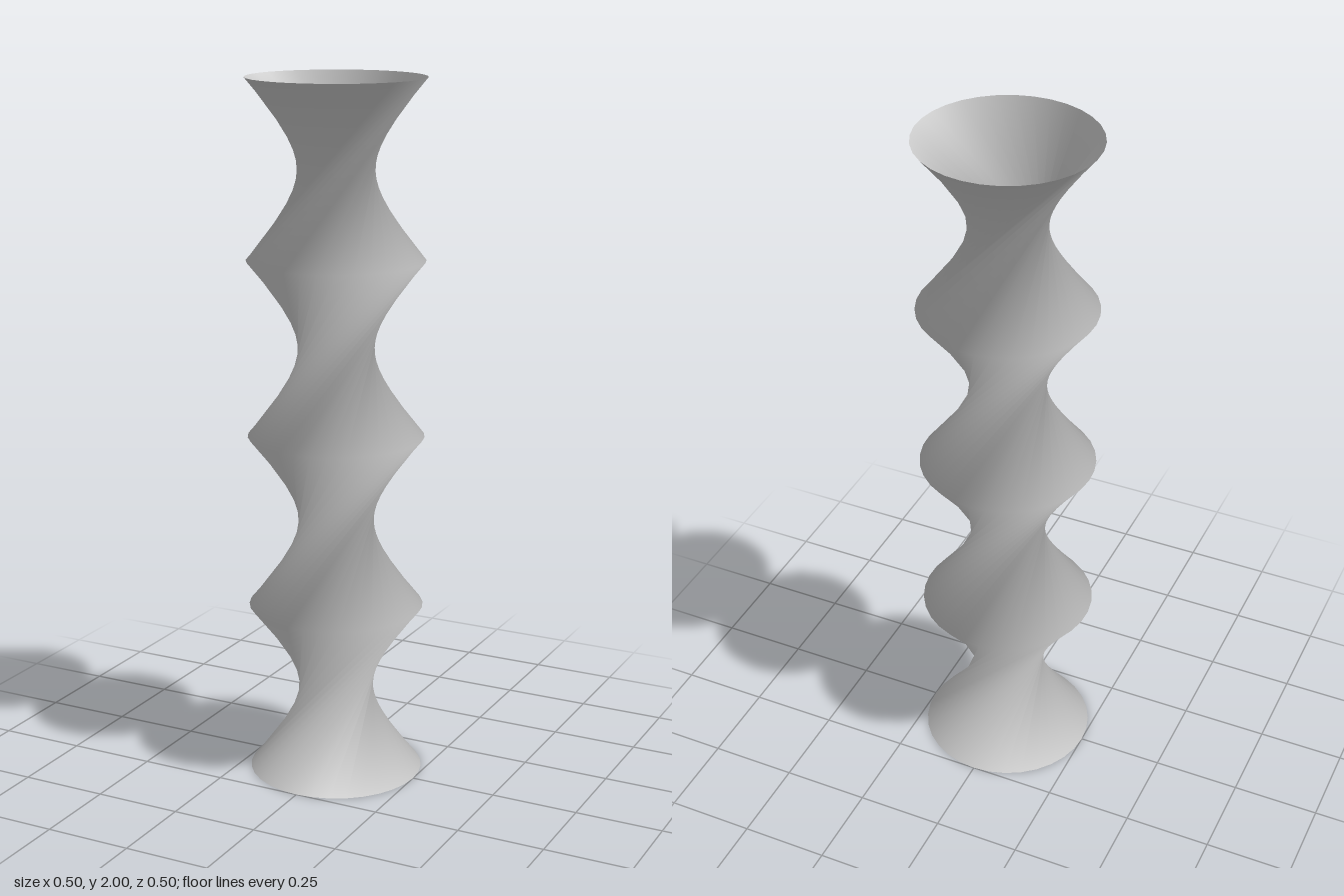
import * as THREE from 'three';
import { mergeVertices } from 'three/addons/utils/BufferGeometryUtils.js';

const RADIUS = 0.25;
const HEIGHT = 2;
const SIDES = 32;
const STAGES = 4;
// Turn between one rim and the next; the straight facets then pinch into waists.
const TWIST = THREE.MathUtils.degToRad(128.75);

export function createModel() {
  const group = new THREE.Group();
  group.name = 'twistedColumn';

  // Open tube with one row of long facets per stage
  let tube = new THREE.CylinderGeometry(RADIUS, RADIUS, HEIGHT, SIDES, STAGES, true);
  tube.translate(0, HEIGHT / 2, 0);

  // Rotate each rim in proportion to its height
  const pos = tube.attributes.position;
  const axis = new THREE.Vector3(0, 1, 0);
  const p = new THREE.Vector3();
  for (let i = 0; i < pos.count; i++) {
    p.fromBufferAttribute(pos, i);
    p.applyAxisAngle(axis, (p.y / HEIGHT) * STAGES * TWIST);
    pos.setXYZ(i, p.x, p.y, p.z);
  }

  // Weld the seam and shade smoothly across the rims
  tube.deleteAttribute('uv');
  tube.deleteAttribute('normal');
  tube = mergeVertices(tube, 1e-4);
  tube.computeVertexNormals();

  const shell = new THREE.Mesh(
    tube,
    new THREE.MeshStandardMaterial({ color: 0xcccccc, side: THREE.DoubleSide })
  );
  shell.name = 'twistedShell';
  group.add(shell);
  return group;
}
